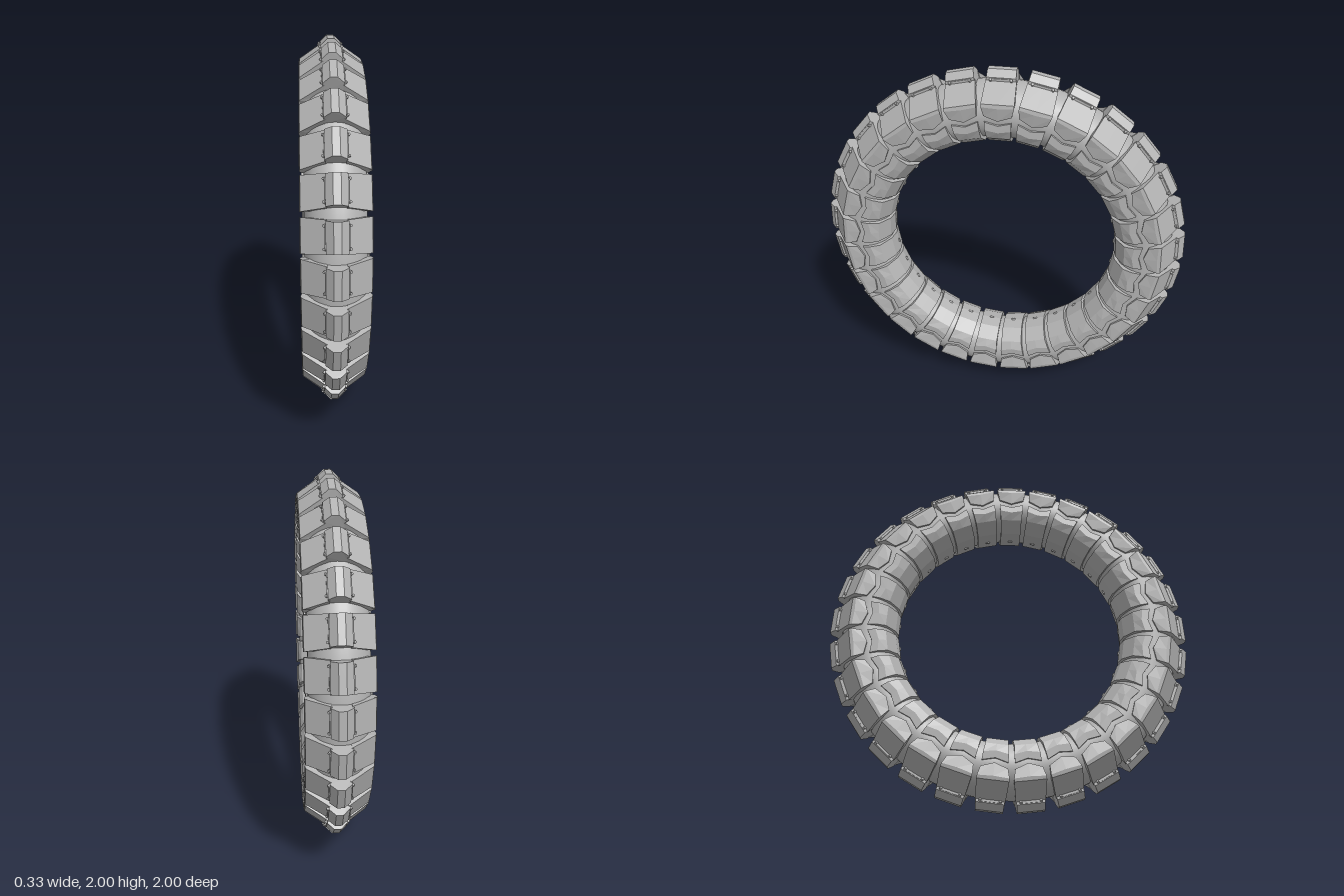
import * as THREE from 'three';

const COUNT = 29;

// Solid block lofted from a closed section of [x, radius, halfWidth, middleShift]
function blockGeometry(section) {
  const outline = section.map(([x, y]) => new THREE.Vector2(x, y));
  const pts = THREE.ShapeUtils.isClockWise(outline) ? section.slice().reverse() : section;
  const flat = pts.map(([x, y]) => new THREE.Vector2(x, y));
  const rings = [1, 0, -1].map(s =>
    pts.map(([x, y, w, d = 0]) => [x, y + (s === 0 ? d : 0), s * w]));
  const pos = [];
  const tri = (a, b, c) => pos.push(...a, ...b, ...c);
  for (let k = 0; k < 2; k++) {
    const A = rings[k], B = rings[k + 1];
    for (let i = 0; i < pts.length; i++) {
      const j = (i + 1) % pts.length;
      tri(A[i], B[i], B[j]);
      tri(A[i], B[j], A[j]);
    }
  }
  for (const [a, b, c] of THREE.ShapeUtils.triangulateShape(flat, [])) {
    tri(rings[0][a], rings[0][b], rings[0][c]);
    tri(rings[2][a], rings[2][c], rings[2][b]);
  }
  const g = new THREE.BufferGeometry();
  g.setAttribute('position', new THREE.Float32BufferAttribute(pos, 3));
  g.computeVertexNormals();
  return g;
}

// Completes a right-hand half section with its mirror image
function mirrored(half) {
  return [...half, ...half.filter(p => p[0] > 0).reverse().map(([x, ...r]) => [-x, ...r])];
}

export function createModel() {
  const model = new THREE.Group();
  model.name = 'treadedRing';
  const rubber = new THREE.MeshStandardMaterial({ color: 0xb3b3b3 });
  rubber.name = 'light grey';

  const add = (parent, geometry, name, x = 0, y = 0, z = 0) => {
    const m = new THREE.Mesh(geometry, rubber);
    m.name = name;
    m.position.set(x, y, z);
    parent.add(m);
    return m;
  };

  const wheel = new THREE.Group();
  wheel.name = 'wheel';
  wheel.position.y = 1;
  model.add(wheel);

  // Smooth tube carrying the tread
  add(wheel, new THREE.TorusGeometry(0.79, 0.147, 32, 116), 'tube').rotation.y = Math.PI / 2;

  // Raised ridge block on the outer centre line
  const ridge = blockGeometry(mirrored([
    [0.018, 1.0, 0.072], [0.052, 0.968, 0.074], [0.052, 0.92, 0.074],
  ]));
  // Sloping shoulder pad folding over onto the side wall
  const shoulder = blockGeometry([
    [0.045, 0.958, 0.077], [0.163, 0.876, 0.083], [0.167, 0.86, 0.082, -0.004],
    [0.157, 0.81, 0.07, -0.025], [0.13, 0.81, 0.07, -0.025],
    [0.09, 0.865, 0.08], [0.045, 0.9, 0.076],
  ]);
  // Pad wrapping the inside of the tube
  const inner = blockGeometry(mirrored([
    [0, 0.664, 0.058], [0.09, 0.705, 0.062], [0.13, 0.778, 0.068, -0.018],
    [0.157, 0.778, 0.068, -0.018], [0.159, 0.735, 0.066, -0.012],
    [0.137, 0.682, 0.06], [0.065, 0.634, 0.058], [0, 0.622, 0.057],
  ]));
  const rail = new THREE.BoxGeometry(0.008, 0.012, 0.105);
  const bolt = new THREE.CylinderGeometry(0.007, 0.007, 0.016, 10);
  const slot = new THREE.CapsuleGeometry(0.006, 0.014, 3, 8).rotateX(Math.PI / 2);

  for (let i = 0; i < COUNT; i++) {
    const segment = new THREE.Group();
    segment.name = 'treadSegment';
    segment.rotation.x = (i / COUNT) * Math.PI * 2;
    wheel.add(segment);

    add(segment, ridge, 'ridgeBlock');
    add(segment, inner, 'innerPad');
    add(segment, slot, 'innerSlot', 0, 0.622, 0);

    for (const side of [1, -1]) {
      add(segment, shoulder, 'shoulderPad').rotation.y = side > 0 ? 0 : Math.PI;
      add(segment, rail, 'ridgeRail', side * 0.053, 0.958, 0);
      for (const z of [-0.052, 0.052]) {
        add(segment, bolt, 'ridgeBolt', side * 0.056, 0.956, z).rotation.z = -side * 0.7;
      }
    }
  }
  return model;
}
